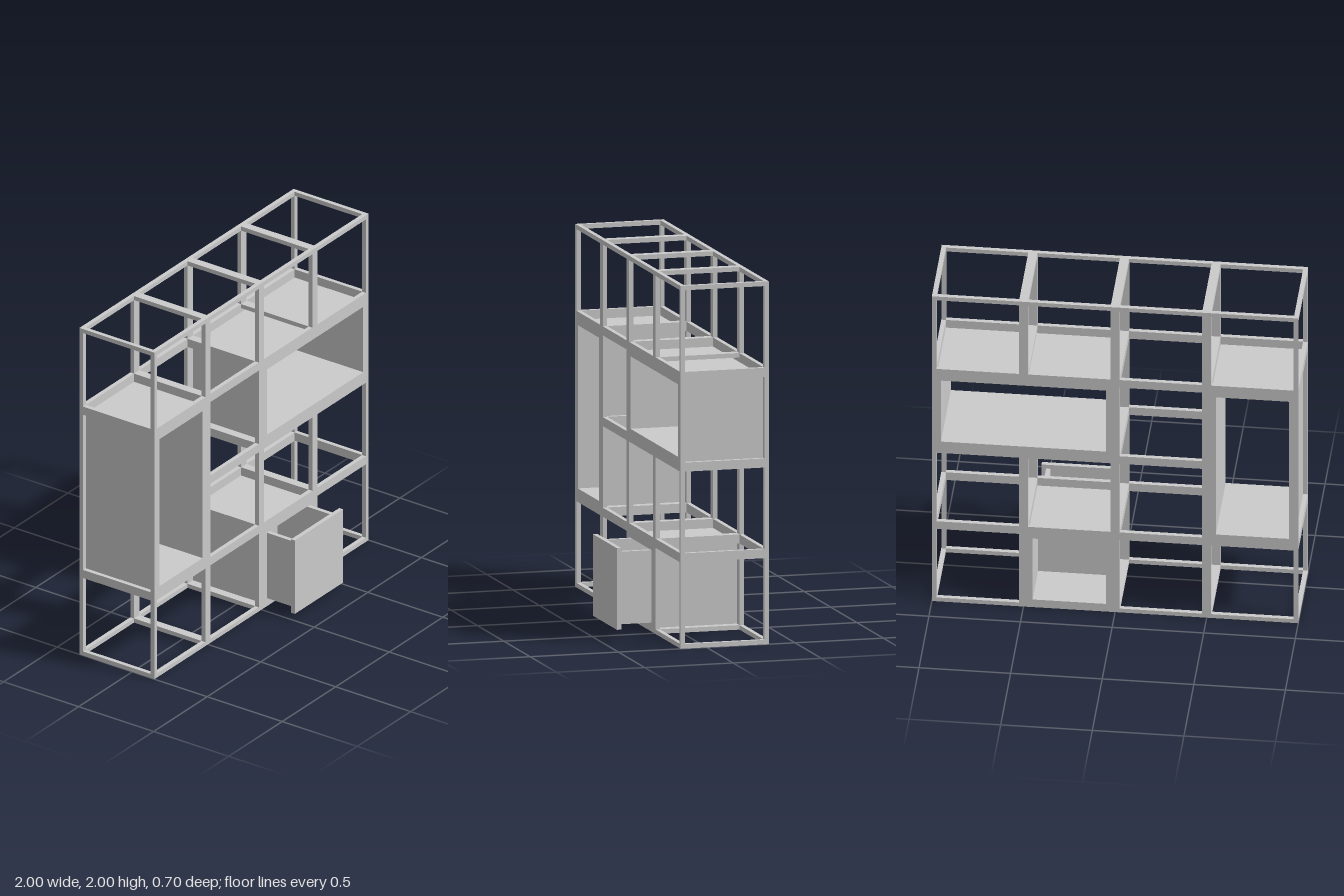
import * as THREE from 'three';

const BAR = 0.025;           // thickness of bars and boards
const BACK = -0.352, FRONT = 0.148;
const material = new THREE.MeshStandardMaterial({ color: 0xcccccc, flatShading: true });

// Box given by its low and high corners
function block(name, [x0, y0, z0], [x1, y1, z1]) {
  const mesh = new THREE.Mesh(new THREE.BoxGeometry(x1 - x0, y1 - y0, z1 - z0), material);
  mesh.name = name;
  mesh.position.set((x0 + x1) / 2, (y0 + y1) / 2, (z0 + z1) / 2);
  return mesh;
}

// Open frame: twelve bars along the edges of a cell
function frame(x0, y0, x1, y1) {
  const group = new THREE.Group();
  group.name = 'cellFrame';
  const xs = [x0, x1 - BAR], ys = [y0, y1 - BAR], zs = [BACK, FRONT - BAR];
  for (const x of xs) for (const z of zs)
    group.add(block('upright', [x, y0, z], [x + BAR, y1, z + BAR]));
  for (const y of ys) {
    for (const z of zs) group.add(block('crossRail', [x0 + BAR, y, z], [x1 - BAR, y + BAR, z + BAR]));
    for (const x of xs) group.add(block('sideRail', [x, y, BACK + BAR], [x + BAR, y + BAR, FRONT - BAR]));
  }
  return group;
}

// Four boards lining a cell, open at front and back
function lining(x0, y0, x1, y1) {
  const group = new THREE.Group();
  group.name = 'cellLining';
  const l = x0 + BAR, r = x1 - BAR, b = y0 + BAR, t = y1 - BAR;
  group.add(
    block('sideBoard', [l, b, BACK], [l + BAR, t, FRONT]),
    block('sideBoard', [r - BAR, b, BACK], [r, t, FRONT]),
    block('bottomBoard', [l + BAR, b, BACK], [r - BAR, b + BAR, FRONT]),
    block('topBoard', [l + BAR, t - BAR, BACK], [r - BAR, t, FRONT]));
  return group;
}

// Pulled-out drawer without a bottom
function drawer() {
  const group = new THREE.Group();
  group.name = 'drawer';
  const back = -0.075, face = 0.327;
  group.add(
    block('drawerFront', [0.025, 0.025, face], [0.475, 0.475, face + BAR]),
    block('drawerSide', [0.05, 0.05, back], [0.075, 0.45, face]),
    block('drawerSide', [0.425, 0.05, back], [0.45, 0.45, face]),
    block('drawerBack', [0.075, 0.05, back], [0.425, 0.45, back + BAR]));
  return group;
}

export function createModel() {
  const model = new THREE.Group();
  model.name = 'shelfUnit';

  // Cells as column, row, columns wide, rows tall, lined
  const cells = [
    [0, 1, 1, 2, true], [2, 2, 2, 1, true], [2, 0, 1, 1, true],
    [0, 0], [1, 0], [3, 0], [1, 1], [2, 1], [3, 1], [1, 2],
    [0, 3], [1, 3], [2, 3], [3, 3],
  ];
  for (const [col, row, wide = 1, tall = 1, lined = false] of cells) {
    const box = [col / 2 - 1, row / 2, (col + wide) / 2 - 1, (row + tall) / 2];
    model.add(frame(...box));
    if (lined) model.add(lining(...box));
  }

  model.add(drawer());
  return model;
}
